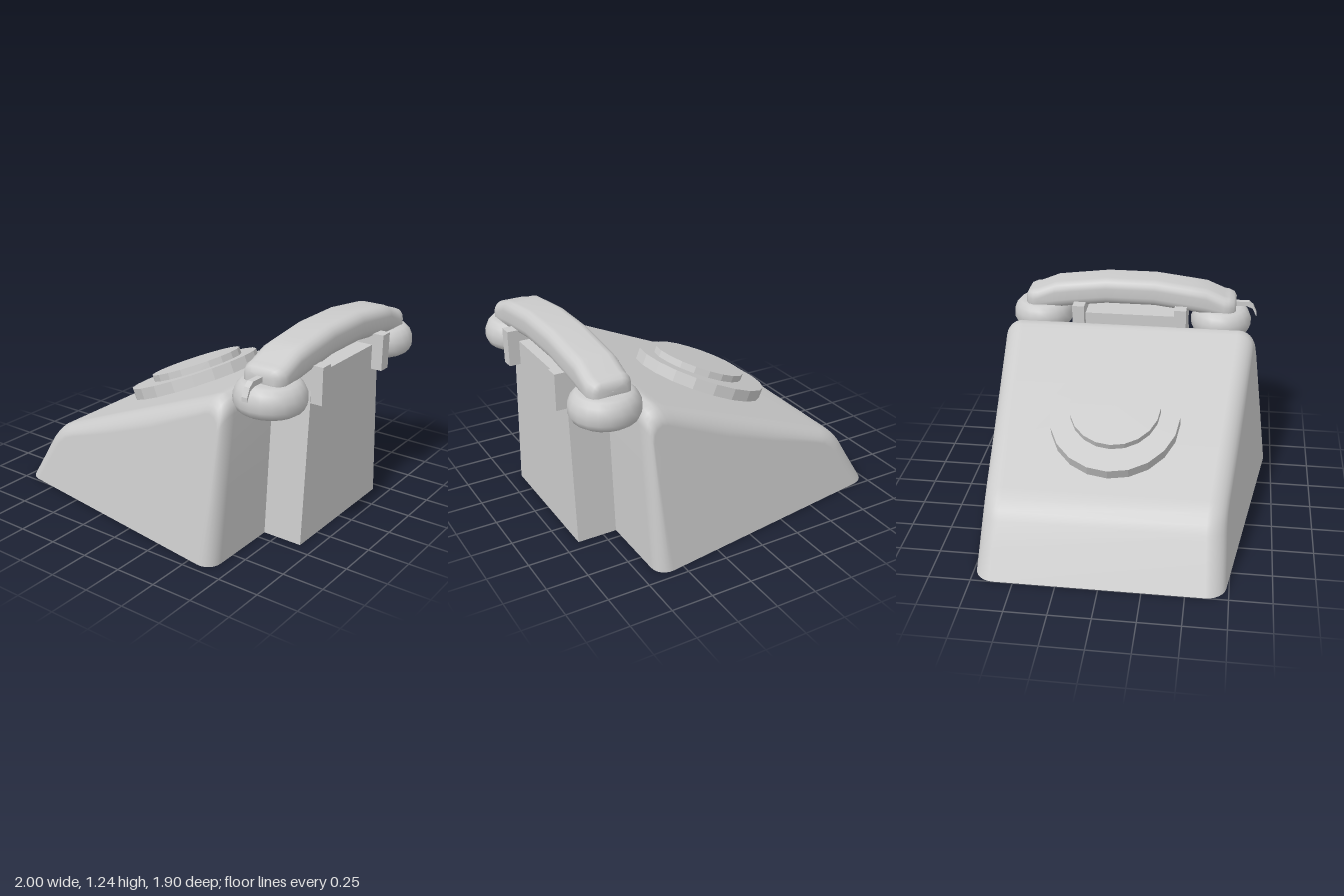
import * as THREE from 'three';

const grey = new THREE.MeshStandardMaterial({ color: 0xcccccc });
const flatGrey = new THREE.MeshStandardMaterial({ color: 0xcccccc, flatShading: true });

function part(name, geometry, parent, material = grey) {
  const mesh = new THREE.Mesh(geometry, material);
  mesh.name = name;
  parent.add(mesh);
  return mesh;
}

// Smooth skin through equally sized rings of [x, y, z] points
function loft(rings, closed) {
  const n = rings[0].length, index = [];
  for (let k = 0; k < rings.length - 1; k++) {
    for (let j = 0; j < (closed ? n : n - 1); j++) {
      const a = k * n + j, c = k * n + ((j + 1) % n);
      index.push(a, a + n, c, c, a + n, c + n);
    }
  }
  const g = new THREE.BufferGeometry();
  g.setAttribute('position', new THREE.Float32BufferAttribute(rings.flat(2), 3));
  g.setIndex(index);
  g.computeVertexNormals();
  return g;
}

// Outline given as [z, y] pairs, extruded along x
function extrudeX(outline, x0, x1) {
  const shape = new THREE.Shape(outline.map(([z, y]) => new THREE.Vector2(-z, y)));
  const g = new THREE.ExtrudeGeometry(shape, { depth: x1 - x0, bevelEnabled: false });
  return g.rotateY(Math.PI / 2).translate(x0, 0, 0);
}

// Wedge body: sections fan out from a hinge on the floor to the side profile
function bodyRings() {
  const hinge = [0.3, 0], radius = 0.1, steps = 6;
  const profile = [[-1, 0], [-0.9, 0.165], [-0.82, 0.3], [-0.78, 0.35], [-0.73, 0.395], [-0.66, 0.43],
    [-0.3, 0.583], [0.1, 0.752], [0.5, 0.922], [0.55, 0.945], [0.59, 0.955], [0.63, 0.94],
    [0.655, 0.91], [0.665, 0.86], [0.665, 0.45], [0.665, 0]];
  const halfWidth = (x, y) => 0.72 + 0.148 * (x + 1) - 0.14 * y;
  return profile.map(([x, y]) => {
    const dx = x - hinge[0], dy = y - hinge[1], length = Math.hypot(dx, dy);
    const half = [[hinge[0], hinge[1], halfWidth(...hinge)]];
    for (let i = 0; i <= steps; i++) {
      const a = (i / steps) * Math.PI / 2;
      const t = 1 - radius * (1 - Math.sin(a)) / length;
      const px = hinge[0] + dx * t, py = hinge[1] + dy * t;
      half.push([px, py, halfWidth(px, py) - radius * (1 - Math.cos(a))]);
    }
    return [...half, ...half.map(([px, py, z]) => [px, py, -z]).reverse()];
  });
}

// Rounded rectangle ring across the handset
function handsetRing([z, top, bottom, halfW]) {
  const halfH = (top - bottom) / 2, mid = (top + bottom) / 2;
  const r = Math.min(0.06, halfH * 0.8, halfW * 0.8), ring = [];
  for (let corner = 0; corner < 4; corner++) {
    const sx = corner === 0 || corner === 3 ? 1 : -1, sy = corner < 2 ? 1 : -1;
    for (let i = 0; i <= 4; i++) {
      const a = (corner + i / 4) * Math.PI / 2;
      ring.push([0.793 + sx * (halfW - r) + r * Math.cos(a), mid + sy * (halfH - r) + r * Math.sin(a), z]);
    }
  }
  return ring;
}

export function createModel() {
  const model = new THREE.Group();
  model.name = 'deskTelephone';

  // Body and its flat underside
  const rings = bodyRings();
  part('body', loft(rings, false), model);
  const rim = [...rings[0].slice(1, -1), ...rings[rings.length - 1].slice(1, -1).reverse()];
  const base = new THREE.ShapeGeometry(new THREE.Shape(rim.map(([x, , z]) => new THREE.Vector2(x, z))));
  part('underside', base.rotateX(Math.PI / 2), model);

  // Tapered block that carries the cradle
  part('cradleBlock', extrudeX([[0.435, 0], [-0.435, 0], [-0.37, 1.005], [0.37, 1.005]], 0.655, 0.91), model, flatGrey);
  for (const z of [0.335, -0.345]) {
    const rest = part('cradleRest', new THREE.BoxGeometry(0.39, 0.22, 0.08), model, flatGrey);
    rest.position.set(0.785, 0.965, z);
  }

  // Stepped dial lying on the slope, slightly longer than wide
  const dial = new THREE.Group();
  dial.name = 'dial';
  dial.position.set(-0.16, 0.642, 0);
  dial.rotation.z = Math.atan2(0.53, 1.25);
  model.add(dial);
  for (const [name, r, x, y0, y1] of [['dialBase', 0.4, 0, -0.02, 0.072], ['dialPlate', 0.28, 0.034, 0.06, 0.114]]) {
    const disc = part(name, new THREE.CylinderGeometry(r, r, y1 - y0, 20), dial, flatGrey);
    disc.position.set(x, (y0 + y1) / 2, 0);
    disc.scale.x = 1.07;
  }

  // Handset: arched grip with rounded ends
  const handset = new THREE.Group();
  handset.name = 'handset';
  model.add(handset);
  const stations = [
    [0.7, 1.072, 1.068, 0.003], [0.7, 1.1, 1.02, 0.085], [0.685, 1.125, 1.0, 0.112], [0.65, 1.138, 0.99, 0.13],
    [0.62, 1.142, 0.99, 0.13], [0.5, 1.192, 1.015, 0.13], [0.4, 1.205, 1.03, 0.13], [0.155, 1.235, 1.06, 0.13],
  ];
  const mirrored = stations.map(([z, ...rest]) => [-z - 0.015, ...rest]).reverse();
  part('grip', loft([...stations, ...mirrored].map(handsetRing), true), handset);

  // Ear and mouth cups with shallow hollows below
  const cupProfile = [[0, 0.895], [0.1, 0.885], [0.13, 0.866], [0.16, 0.868], [0.185, 0.885], [0.202, 0.92],
    [0.202, 0.97], [0.185, 1.01], [0.16, 1.036], [0.13, 1.044], [0, 1.046]].map((p) => new THREE.Vector2(...p));
  for (const [name, z] of [['mouthCup', 0.602], ['earCup', -0.615]]) {
    part(name, new THREE.LatheGeometry(cupProfile, 20), handset).position.set(0.796, 0, z);
  }

  // Short cord stub curling down from the front end
  part('cordStub', extrudeX([[0.68, 1.055], [0.77, 1.055], [0.81, 1.04], [0.838, 0.985], [0.838, 1.01],
    [0.815, 1.06], [0.785, 1.085], [0.68, 1.085]], 0.775, 0.81), handset, flatGrey);

  return model;
}
